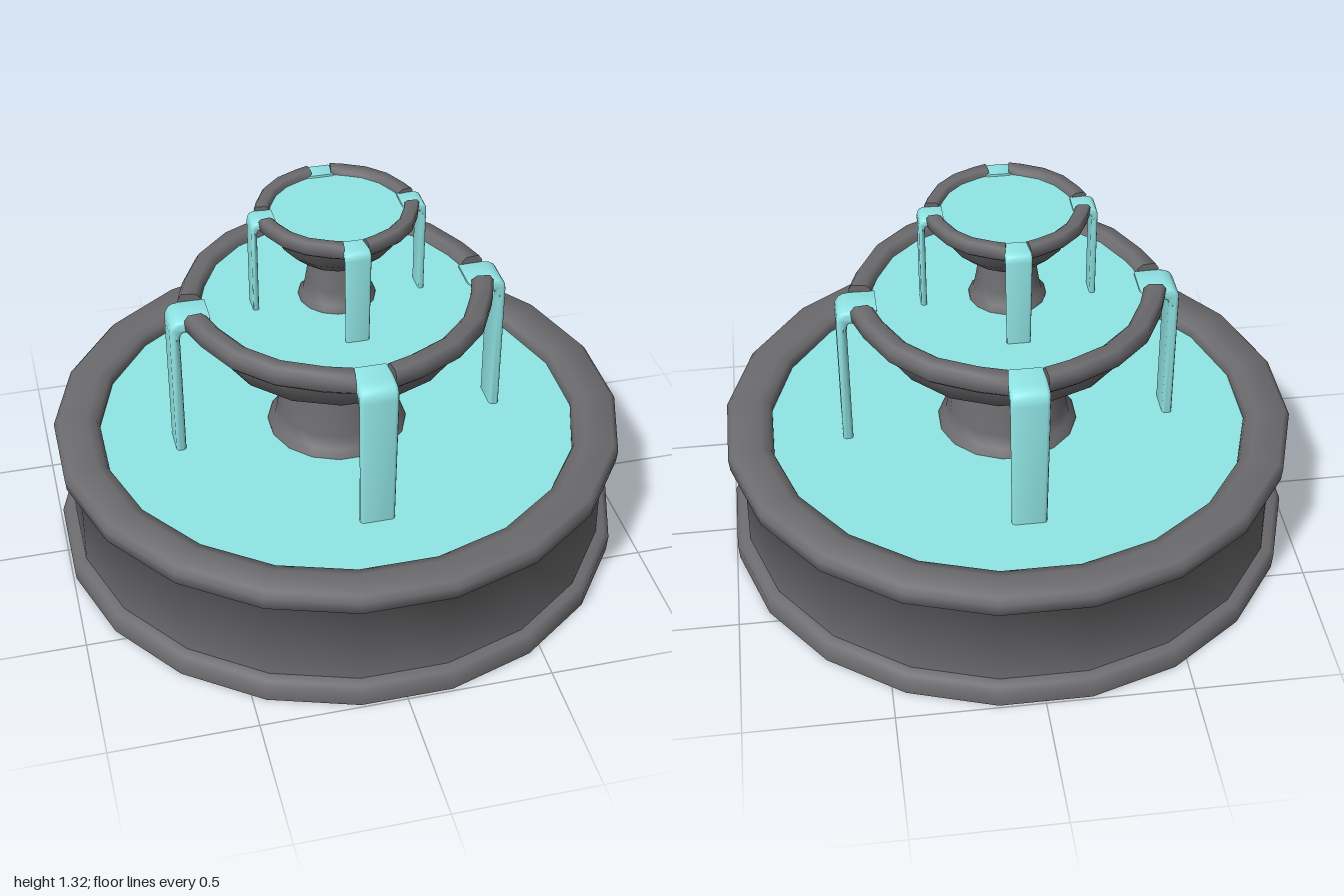
import * as THREE from 'three';
import { toCreasedNormals } from 'three/addons/utils/BufferGeometryUtils.js';

const stone = new THREE.MeshStandardMaterial({ color: 0x6c6c6f });
stone.name = 'dark stone';
const water = new THREE.MeshStandardMaterial({ color: 0x98f0f1 });
water.name = 'pale water';

const CREASE = 1.1;
const vec = (list) => list.map(([x, y]) => new THREE.Vector2(x, y));

function add(parent, name, geometry, material) {
  const mesh = new THREE.Mesh(geometry, material);
  mesh.name = name;
  parent.add(mesh);
  return mesh;
}

// Turned part whose flat sides face the axes
function turned(profile, sides) {
  const g = new THREE.LatheGeometry(vec(profile), sides, Math.PI / sides);
  return toCreasedNormals(g, CREASE);
}

function waterDisc(radius, y, sides) {
  const g = new THREE.CircleGeometry(radius, sides, Math.PI / sides);
  return g.rotateX(-Math.PI / 2).translate(0, y, 0);
}

// One quarter of a rim, closed at both ends, leaving gaps on the axes
function rimQuarter(profile, gap) {
  const degrees = [gap, gap, 18, 36, 54, 72, 90 - gap, 90 - gap];
  const n = profile.length;
  const last = degrees.length - 1;
  const g = new THREE.LatheGeometry(vec(profile), last);
  const p = g.attributes.position;
  const mid = (axis) => profile.slice(1).reduce((sum, q) => sum + q[axis], 0) / (n - 1);
  const midR = mid(0);
  const midY = mid(1);
  degrees.forEach((d, i) => {
    const a = THREE.MathUtils.degToRad(d);
    const cap = i === 0 || i === last;
    // The rim reaches out slightly beside each spout
    const k = i < 2 || i > last - 2 ? 1.02 : 1;
    profile.forEach(([r, y], j) => {
      const radius = (cap ? midR : r) * k;
      p.setXYZ(i * n + j, radius * Math.sin(a), cap ? midY : y, radius * Math.cos(a));
    });
  });
  return toCreasedNormals(g, CREASE);
}

// Round-edged sheet of water that runs over the rim and falls straight down
function streamGeometry({ inner, outer, top, bottom, thick, width, bend }) {
  const under = top - thick * 1.4;
  const s = new THREE.Shape();
  s.moveTo(inner, under);
  s.lineTo(outer - bend, under);
  s.quadraticCurveTo(outer - thick, under, outer - thick, top - bend - thick);
  s.lineTo(outer - thick, bottom);
  s.lineTo(outer, bottom);
  s.lineTo(outer, top - bend);
  s.quadraticCurveTo(outer, top, outer - bend, top);
  s.lineTo(inner, top);
  s.closePath();
  const edge = thick * 0.35;
  const g = new THREE.ExtrudeGeometry(s, {
    depth: width - 2 * edge, curveSegments: 4,
    bevelThickness: edge, bevelSize: edge, bevelOffset: -edge, bevelSegments: 2,
  });
  g.translate(0, 0, edge - width / 2);
  // The sheet is a little wider where it spills over
  const p = g.attributes.position;
  for (let i = 0; i < p.count; i++) {
    if (p.getY(i) > top - bend * 1.6) p.setZ(i, p.getZ(i) * 1.1);
  }
  return toCreasedNormals(g, CREASE);
}

// Pedestal, bowl, notched rim, water and four streams
function tier(name, t) {
  const group = new THREE.Group();
  group.name = name;
  add(group, 'pedestal', turned(t.pedestal, 16), stone);
  add(group, 'bowl', turned(t.bowl, 16), stone);
  add(group, 'bowlWater', waterDisc(t.waterRadius, t.waterY, 16), water);
  const rim = rimQuarter(t.rim, t.gap);
  const stream = streamGeometry(t.stream);
  for (let i = 0; i < 4; i++) {
    add(group, 'rimQuarter', rim, stone).rotation.y = i * Math.PI / 2;
    add(group, 'stream', stream, water).rotation.y = i * Math.PI / 2;
  }
  return group;
}

export function createModel() {
  const fountain = new THREE.Group();
  fountain.name = 'fountain';

  // Round basin with a recessed underside, foot ring and overhanging rim
  add(fountain, 'basin', turned([
    [0, 0.06], [0.97, 0.06], [0.975, 0], [1.003, 0], [1.007, 0.06], [0.99, 0.075],
    [0.96, 0.08], [0.956, 0.375], [0.98, 0.392], [1.003, 0.41], [1.007, 0.455], [0.99, 0.475],
    [0.89, 0.475], [0.855, 0.465], [0.845, 0.44], [0.85, 0.4],
  ], 20), stone);
  add(fountain, 'basinWater', waterDisc(0.855, 0.428, 20), water);

  fountain.add(tier('middleTier', {
    pedestal: [[0.247, 0.41], [0.247, 0.435], [0.222, 0.452], [0.212, 0.5], [0.192, 0.645]],
    bowl: [[0, 0.64], [0.205, 0.64], [0.21, 0.67], [0.31, 0.715], [0.425, 0.8],
      [0.5, 0.91], [0.505, 0.935]],
    rim: [[0.455, 0.925], [0.515, 0.92], [0.53, 0.935], [0.533, 0.975], [0.52, 0.995],
      [0.475, 0.995], [0.458, 0.98], [0.455, 0.925]],
    gap: 7,
    waterRadius: 0.475, waterY: 0.963,
    stream: { inner: 0.45, outer: 0.59, top: 0.972, bottom: 0.41, thick: 0.035, width: 0.12, bend: 0.05 },
  }));

  fountain.add(tier('topTier', {
    pedestal: [[0.132, 0.95], [0.132, 0.972], [0.117, 0.985], [0.108, 1.03], [0.092, 1.13]],
    bowl: [[0, 1.12], [0.1, 1.12], [0.14, 1.14], [0.195, 1.19], [0.228, 1.265], [0.235, 1.28]],
    rim: [[0.22, 1.27], [0.258, 1.266], [0.268, 1.275], [0.27, 1.308], [0.263, 1.318],
      [0.232, 1.318], [0.222, 1.31], [0.22, 1.27]],
    gap: 8.5,
    waterRadius: 0.23, waterY: 1.296,
    stream: { inner: 0.215, outer: 0.298, top: 1.304, bottom: 0.95, thick: 0.02, width: 0.08, bend: 0.028 },
  }));

  return fountain;
}
